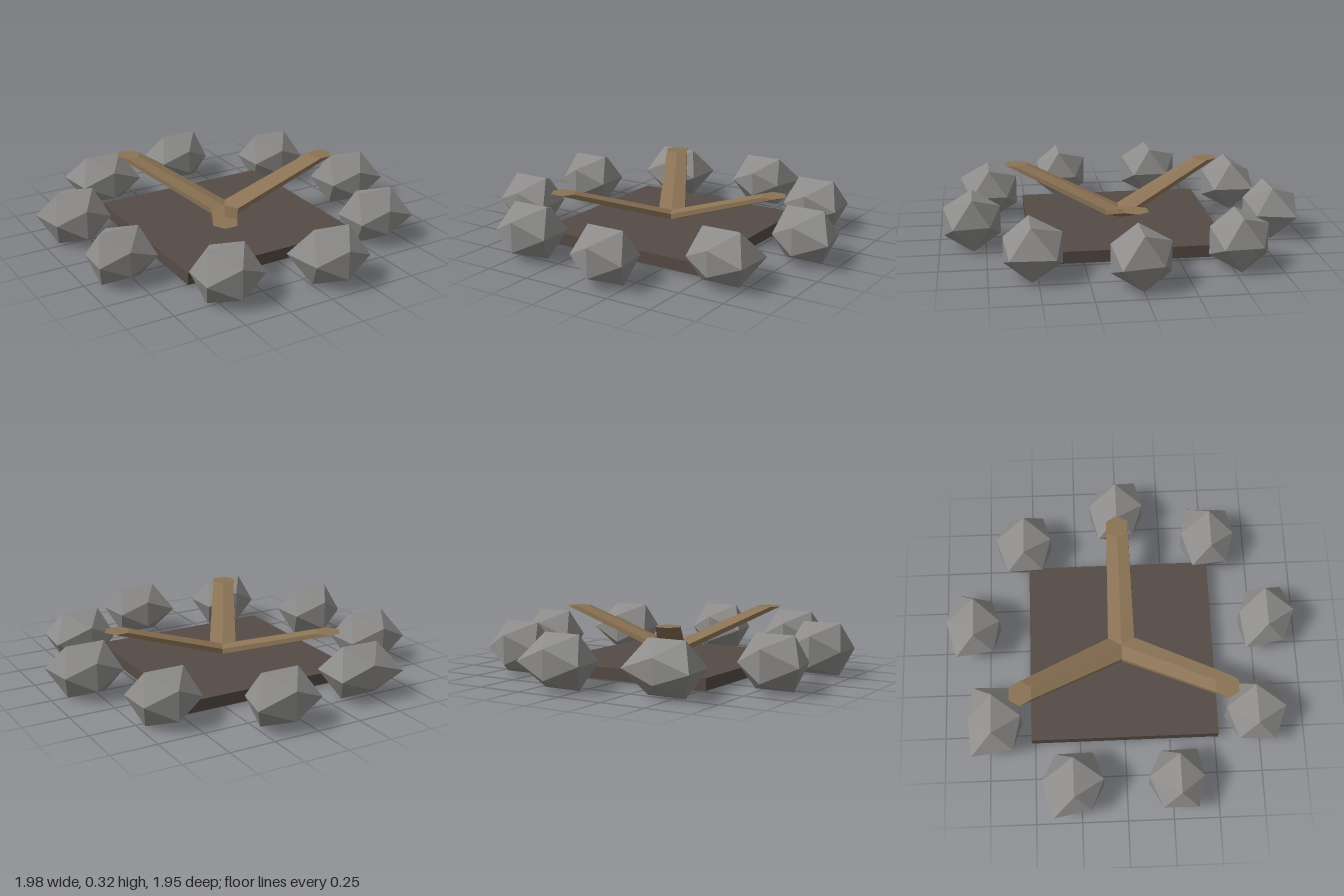
import * as THREE from 'three';

const CENTER_X = -0.03;
const mat = (name, color) => {
  const m = new THREE.MeshStandardMaterial({ color, flatShading: true });
  m.name = name;
  return m;
};

// Faceted stone: a flattened icosahedron with uneven corners.
// sizes = [back, back left, front left, front, front right, back right]
function rockGeometry(sizes) {
  const geo = new THREE.IcosahedronGeometry(0.2, 0);
  const p = geo.attributes.position;
  for (let i = 0; i < p.count; i++) {
    const x = p.getX(i), y = p.getY(i), z = p.getZ(i);
    let s = 1.02;
    if (Math.abs(x) < 0.01) s = z < 0 ? sizes[0] : sizes[3];
    else if (Math.abs(z) > 0.01) {
      if (x > 0) s = z < 0 ? sizes[1] : sizes[2];
      else s = z > 0 ? sizes[4] : sizes[5];
    }
    p.setXYZ(i, x * s, y * s * 0.82, z * s);
  }
  geo.computeVertexNormals();
  return geo;
}

// Leaning six-sided log whose ends stay level
function logGeometry(bottomY, topY, reach) {
  const h = topY - bottomY;
  let geo = new THREE.CylinderGeometry(0.07, 0.087, h, 6);
  geo.rotateY(Math.PI / 6);
  geo.translate(0, h / 2, 0);
  const p = geo.attributes.position;
  for (let i = 0; i < p.count; i++) p.setX(i, p.getX(i) + (p.getY(i) / h) * reach);
  geo = geo.toNonIndexed();
  geo.computeVertexNormals();
  return geo;
}

export function createModel() {
  const group = new THREE.Group();
  const stone = mat('stone grey', 0x8e8d8b);
  const wood = mat('log brown', 0x8b7355);
  const ash = mat('ash brown', 0x564b46);

  const add = (name, geo, material, x, y, z) => {
    const mesh = new THREE.Mesh(geo, material);
    mesh.name = name;
    mesh.position.set(x, y, z);
    group.add(mesh);
    return mesh;
  };

  // Square ash bed
  add('ashBed', new THREE.BoxGeometry(1.036, 0.065, 1.036), ash, CENTER_X, 0.0525, 0);

  // Three logs spreading from the middle
  const log = logGeometry(0.12, 0.335, 0.645);
  for (let i = 0; i < 3; i++) {
    add('log' + (i + 1), log, wood, CENTER_X, 0.12, 0).rotation.y = (i * Math.PI * 2) / 3;
  }

  // Ring of nine stones
  const rocks = [
    [0.91, 0.9, 1.1, 0.89, 0.86, 1.0],
    [0.96, 1.14, 1.06, 0.8, 0.87, 0.97],
    [0.88, 0.86, 1.0, 0.92, 0.9, 1.12],
    [0.95, 0.95, 1.0, 0.96, 0.95, 0.9],
    [0.97, 0.93, 0.97, 0.77, 0.91, 0.89],
    [1.0, 0.95, 0.97, 0.94, 0.86, 1.1],
    [0.78, 1.12, 1.08, 0.9, 1.0, 1.17],
    [0.92, 1.15, 0.85, 0.81, 0.92, 1.07],
    [0.94, 0.93, 1.0, 0.88, 0.92, 0.97],
  ];
  rocks.forEach((sizes, i) => {
    const a = (i * Math.PI * 2) / rocks.length;
    add('rock' + (i + 1), rockGeometry(sizes), stone,
      CENTER_X + 0.83 * Math.cos(a), 0.155, 0.83 * Math.sin(a));
  });

  return group;
}
